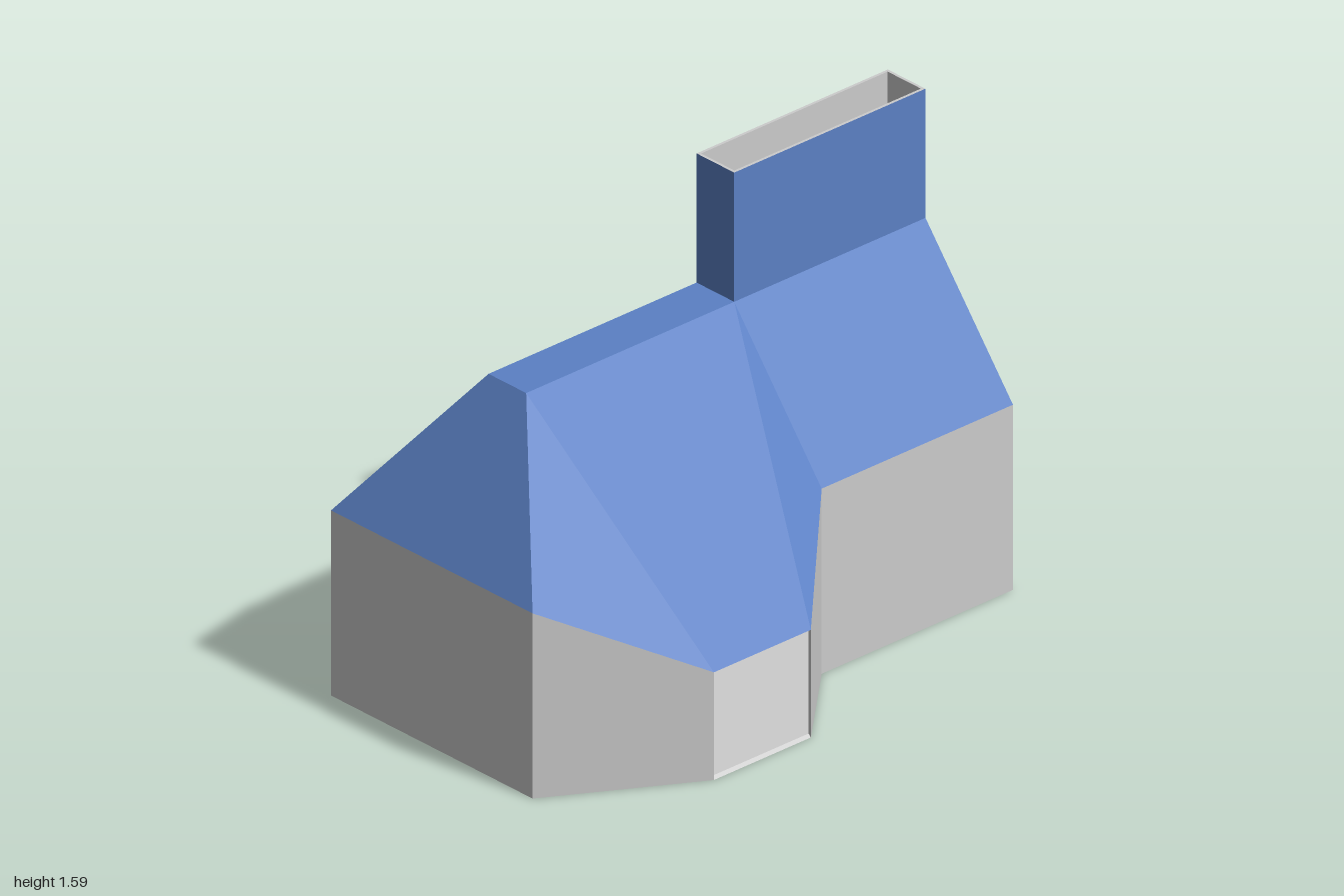
import * as THREE from 'three';

const T = 0.01; // shell thickness
const RIDGE = 1.14, TOP = 1.59, CHIMNEY_Z = -0.2;

// Key points of the shell, moved inwards by d
function keyPoints(d) {
  const side = (s, xs, ridgeX, creaseZ) => {
    const ys = [0.645, 0.375, 0.375, 0.645, 0.645];
    const zs = [1 - d, 0.51, 0.105, -0.2, -1 + d];
    const eave = xs.map((x, i) => [s * (x - d), ys[i], zs[i]]);
    const base = eave.map(([x, , z]) => [x, d, z]);
    const rx = s * (ridgeX - d);
    const ridge = [0.67, creaseZ, -1 + d].map((z) => [rx, RIDGE - d, z]);
    const stack = [CHIMNEY_Z - d, -1 + d].map((z) => [rx, RIDGE - d, z]);
    const rim = stack.map(([x, , z]) => [x, TOP, z]);
    return { s, eave, base, ridge, stack, rim };
  };
  return {
    right: side(1, [0.455, 0.745, 0.745, 0.465, 0.465], 0.07, -0.2),
    left: side(-1, [0.455, 0.745, 0.745, 0.495, 0.495], 0.1, 0.1),
  };
}

// Flat convex faces as one mesh
function faceMesh(name, faces, color, flip = false) {
  const pos = [];
  for (const face of faces) {
    const f = flip ? [...face].reverse() : face;
    for (let i = 1; i < f.length - 1; i++) pos.push(...f[0], ...f[i], ...f[i + 1]);
  }
  const geo = new THREE.BufferGeometry();
  geo.setAttribute('position', new THREE.Float32BufferAttribute(pos, 3));
  geo.computeVertexNormals();
  const mesh = new THREE.Mesh(geo, new THREE.MeshStandardMaterial({ color }));
  mesh.name = name;
  return mesh;
}

// Faces of walls, floor, roof and chimney, wound outwards
function shellFaces({ left: L, right: R }) {
  const walls = [], floor = [], roof = [], chimney = [];
  for (const p of [R, L]) {
    const add = (list, ...f) => list.push(p.s > 0 ? f : f.reverse());
    const { eave: e, base: b, ridge: r, stack: c, rim: t } = p;
    for (let i = 0; i < 4; i++) {
      if (p === R && i === 1) continue; // doorway
      add(walls, b[i], b[i + 1], e[i + 1], e[i]);
    }
    add(roof, e[0], e[1], r[0]);
    add(roof, e[1], e[2], r[1], r[0]);
    add(roof, e[2], e[3], r[1]);
    add(roof, e[3], e[4], r[2], r[1]);
    add(chimney, c[0], c[1], t[1], t[0]);
  }
  for (let i = 0; i < 4; i++) floor.push([L.base[i], R.base[i], R.base[i + 1], L.base[i + 1]]);
  walls.push([L.base[0], R.base[0], R.eave[0], L.eave[0]]);
  walls.push([R.base[4], L.base[4], L.eave[4], R.eave[4]]);
  roof.push([L.eave[0], R.eave[0], R.ridge[0], L.ridge[0]]); // front hip
  roof.push([R.eave[4], L.eave[4], L.ridge[2], R.ridge[2]]); // back gable
  roof.push([L.ridge[0], R.ridge[0], R.stack[0], L.stack[0]]); // ridge strip
  chimney.push([L.stack[0], R.stack[0], R.rim[0], L.rim[0]]);
  chimney.push([R.stack[1], L.stack[1], L.rim[1], R.rim[1]]);
  return { walls, floor, roof, chimney };
}

// Faces joining an outer loop to an inner loop
const band = (outer, inner) => outer.map((p, i) => {
  const j = (i + 1) % outer.length;
  return [p, outer[j], inner[j], inner[i]];
});

export function createModel() {
  const GREY = 0xcccccc, BLUE = 0x5b80c4;
  const group = new THREE.Group();
  group.name = 'house';
  const outerPts = keyPoints(0), innerPts = keyPoints(T);
  const outer = shellFaces(outerPts), inner = shellFaces(innerPts);

  // Outside
  group.add(faceMesh('walls', outer.walls, GREY));
  group.add(faceMesh('underside', outer.floor, GREY, true));
  group.add(faceMesh('roof', outer.roof, BLUE));
  group.add(faceMesh('chimney', outer.chimney, BLUE));

  // Inside lining
  group.add(faceMesh('innerWalls', inner.walls, GREY, true));
  group.add(faceMesh('floor', inner.floor, GREY));
  group.add(faceMesh('ceiling', inner.roof, GREY, true));
  group.add(faceMesh('flue', inner.chimney, GREY, true));

  // Edges of the chimney mouth and the doorway
  const mouth = ({ left, right }) => [left.rim[0], right.rim[0], right.rim[1], left.rim[1]];
  const door = ({ right: { base: b, eave: e } }) => [b[1], b[2], e[2], e[1]];
  group.add(faceMesh('chimneyRim', band(mouth(outerPts), mouth(innerPts)), GREY));
  group.add(faceMesh('doorFrame', band(door(outerPts), door(innerPts)), GREY));
  return group;
}
